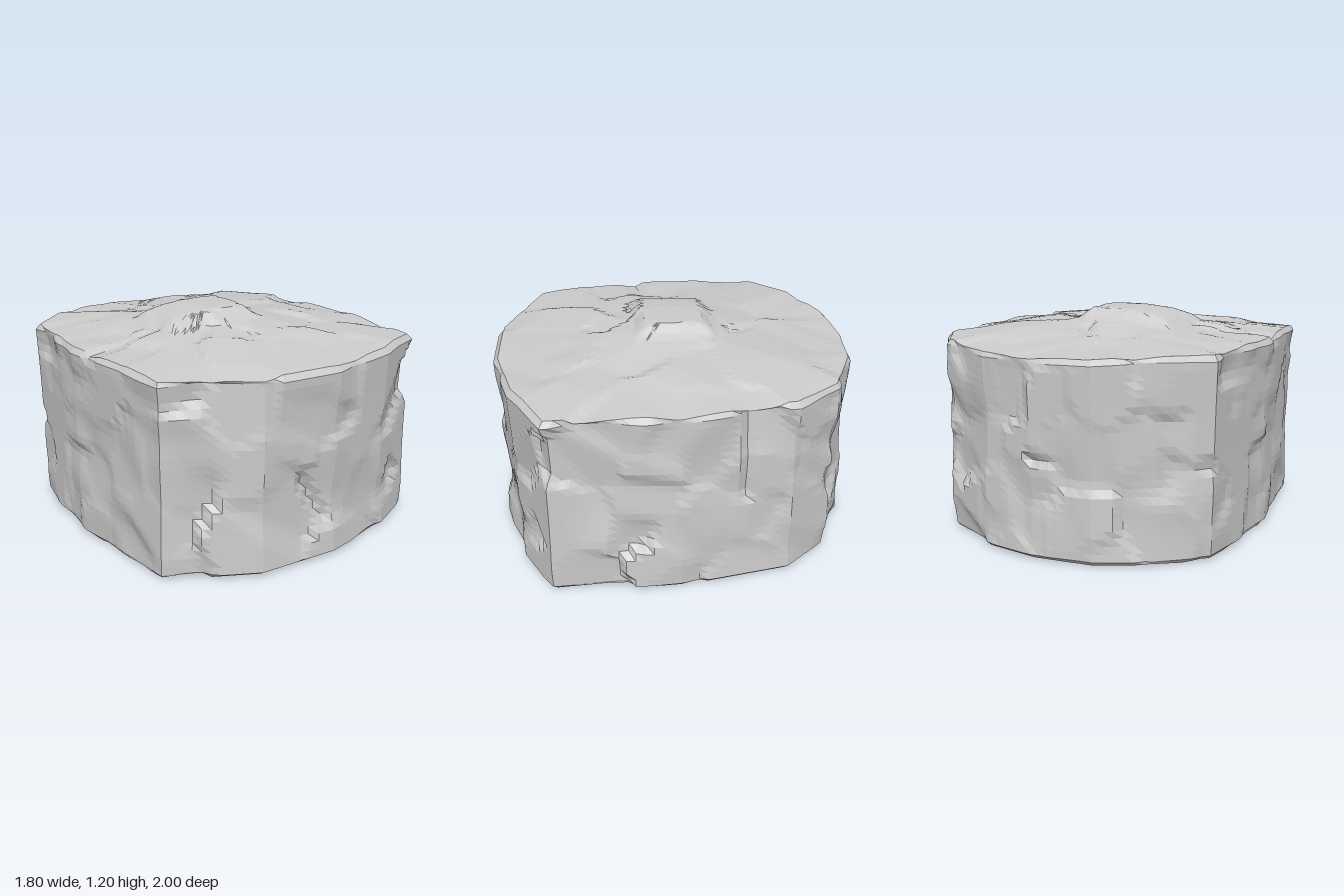
import * as THREE from 'three';

const { clamp, smoothstep } = THREE.MathUtils;

// Plan outline [x, z], running back -> +x -> front -> -x
const OUTLINE = [
  [0, -1], [0.3, -0.96], [0.64, -0.8], [0.81, -0.55], [0.9, 0.05], [0.84, 0.74], [0.5, 0.91],
  [0.1, 1], [-0.35, 0.985], [-0.82, 0.76], [-0.9, 0], [-0.84, -0.61], [-0.62, -0.82], [-0.33, -0.96],
];

// Ends of the deeper cracks: +x side, front, back ledge, top
const CRACKS = [
  [[0.86, 0.55, -0.3], [0.86, 1.1, -0.32]],
  [[-0.1, 0.45, 1], [0.04, 0.23, 1]],
  [[-0.84, 0.5, -0.6], [0, 0.52, -1]],
  [[-0.85, 1.07, 0.16], [-0.42, 1.12, 0.08]],
].map((ends) => new THREE.Line3(...ends.map((e) => new THREE.Vector3(...e))));

function seeded(seed) {
  return () => {
    seed = (seed * 1664525 + 1013904223) % 4294967296;
    return seed / 4294967296;
  };
}

// Randomly tilted planes, one for each chip of stone
const rand = seeded(17);
const CHIPS = Array.from({ length: 230 }, () => {
  const angle = rand() * Math.PI * 2;
  const radius = rand() < 0.4 ? Math.sqrt(rand()) : 0.8 + rand() * 0.2;
  return {
    centre: new THREE.Vector3(Math.sin(angle) * radius * 0.9, rand() * 1.2, Math.cos(angle) * radius),
    tilt: new THREE.Vector3(rand() - 0.5, rand() - 0.5, rand() - 0.5).multiplyScalar(0.28),
    offset: (rand() - 0.7) * 0.035,
  };
});

// Chipped relief: the nearest plane wins, with a narrow blend between neighbours
function relief(p) {
  let sum = 0, total = 0;
  const q = new THREE.Vector3();
  for (const { centre, tilt, offset } of CHIPS) {
    const w = Math.exp(-150 * p.distanceToSquared(centre)) + 1e-30;
    sum += w * (offset + tilt.dot(q.subVectors(p, centre)));
    total += w;
  }
  let h = clamp(sum / total, -0.045, 0.004);
  for (const crack of CRACKS) {
    crack.closestPointToPoint(p, true, q);
    h -= Math.max(0, 0.035 - 0.7 * q.distanceTo(p));
  }
  return h;
}

// Sloping top planes with a raised slab in the middle
function topHeight(x, z) {
  const ax = Math.abs(x), az = Math.abs(z);
  const slope = Math.max(0.13 * ax, 0.135 * az, 0.1 * ax + 0.06 * az);
  const slab = (1 - smoothstep(Math.abs(x + 0.13), 0.22, 0.3)) * (1 - smoothstep(az, 0.16, 0.24));
  return 1.17 - slope + 0.045 * slab;
}

// Even points along the outline, keeping its corners
function outlinePoints(step) {
  return OUTLINE.flatMap(([x, z], i) => {
    const [nx, nz] = OUTLINE[(i + 1) % OUTLINE.length];
    const n = Math.round(Math.hypot(nx - x, nz - z) / step);
    return Array.from({ length: n }, (_, k) => [x + (nx - x) * k / n, z + (nz - z) * k / n]);
  });
}

function basePoint(x, z, s) {
  const p = new THREE.Vector3(x * s, 0, z * s);
  p.y = Math.max(0, -relief(p) * 0.8 - 0.008);
  return p;
}

function wallPoint(x, z, level) {
  const p = new THREE.Vector3(x, topHeight(x, z) * level, z);
  const waist = 1 - 0.015 * Math.sin(Math.PI * level);
  const s = waist + relief(p) / Math.hypot(x, z);
  return p.set(x * s, p.y, z * s);
}

function topPoint(x, z, s) {
  const p = new THREE.Vector3(x * s, topHeight(x * s, z * s), z * s);
  p.y = Math.min(1.2, p.y + relief(p) * 0.6);
  return p;
}

// Underside, wall and top as one run of rings from centre to centre
function rockGeometry() {
  const outline = outlinePoints(0.05), n = outline.length;
  const cap = 18, side = 24, points = [];
  const ring = (place, t) => points.push(...outline.map(([x, z]) => place(x, z, t)));
  for (let k = 0; k <= cap; k++) ring(basePoint, 0.965 * k / cap);
  for (let k = 0; k <= side; k++) ring(wallPoint, 0.025 + 0.95 * k / side);
  for (let k = cap; k >= 0; k--) ring(topPoint, 0.975 * k / cap);

  const index = [], last = points.length / n - 2;
  for (let j = 0; j <= last; j++) {
    for (let i = 0; i < n; i++) {
      const a = j * n + i, b = j * n + (i + 1) % n, c = b + n, d = a + n;
      if (j < last) index.push(a, d, c);
      if (j > 0) index.push(a, c, b);
    }
  }
  const geometry = new THREE.BufferGeometry().setFromPoints(points);
  geometry.setIndex(index);
  geometry.computeVertexNormals();
  return geometry;
}

export function createModel() {
  const group = new THREE.Group();
  group.name = 'boulder';
  const stone = new THREE.MeshStandardMaterial({ color: 0xcccccc, flatShading: true });
  const rock = new THREE.Mesh(rockGeometry(), stone);
  rock.name = 'rock';
  group.add(rock);
  return group;
}
